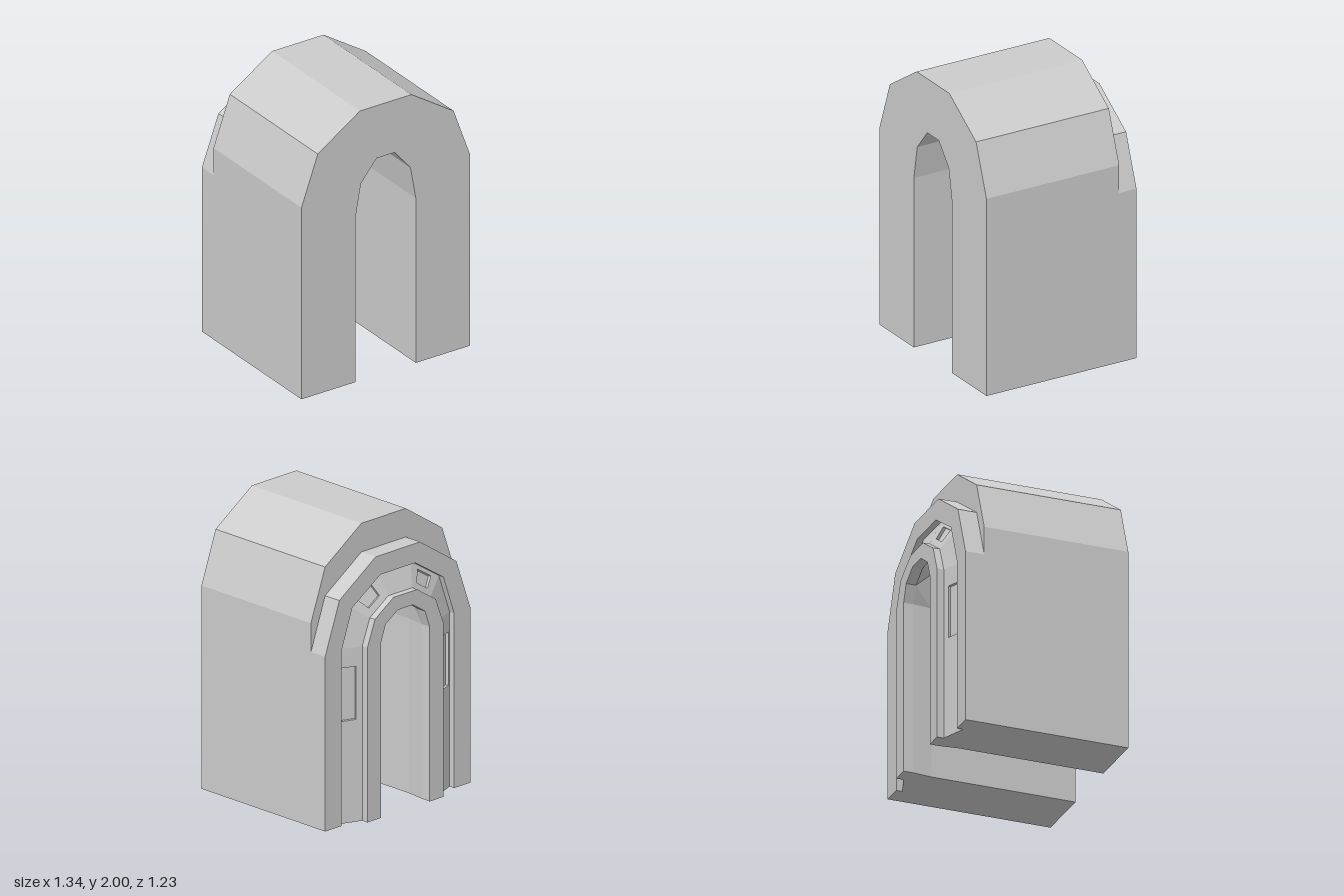
import * as THREE from 'three';

// Arch profile from the -x foot over the crown to the +x foot, placed at depth z
function arch(half, z) {
  const right = [...half].reverse();
  return [...half.map(([x, y]) => [-x, y]), ...right].map(([x, y]) => new THREE.Vector3(x, y, z));
}

const OUTER = [[0.67, 0], [0.67, 1.42], [0.54, 1.78], [0.205, 2]];
const BACK = [[0.67, 0], [0.67, 1.22], [0.54, 1.58], [0.205, 1.8]];
const FRAME = [[0.52, 0], [0.52, 1.22], [0.42, 1.5], [0.16, 1.665]];
const RING = [[0.35, 0], [0.35, 1.22], [0.28, 1.4], [0.11, 1.51]];
const MOUTH = [[0.225, 0], [0.225, 1.22], [0.182, 1.34], [0.07, 1.413]];
const TUNNEL = [[0.24, 0], [0.24, 1.22], [0.197, 1.46], [0.072, 1.61]];

function quad(out, a, b, c, d) {
  for (const p of [a, b, c, a, c, d]) out.push(p.x, p.y, p.z);
}

// Strip of quads between two arch profiles, optionally leaving out segments
function strip(out, A, B, skip = []) {
  for (let i = 0; i < A.length - 1; i++) {
    if (!skip.includes(i)) quad(out, A[i], A[i + 1], B[i + 1], B[i]);
  }
}

// Quad with a sunken panel: the rim goes to `out`, walls and floor go to `sunk`
function panelQuad(out, sunk, [a, b, c, d], [u0, u1, v0, v1], depth) {
  const at = (u, v) => a.clone().lerp(b, u).lerp(d.clone().lerp(c, u), v);
  const outer = [a, b, c, d];
  const rim = [at(u0, v0), at(u1, v0), at(u1, v1), at(u0, v1)];
  const inward = b.clone().sub(a).cross(d.clone().sub(a)).normalize().multiplyScalar(-depth);
  const floor = rim.map((p) => p.clone().add(inward));
  for (let i = 0; i < 4; i++) {
    const j = (i + 1) % 4;
    quad(out, outer[i], outer[j], rim[j], rim[i]);
    quad(sunk, rim[i], rim[j], floor[j], floor[i]);
  }
  quad(sunk, ...floor);
}

export function createModel() {
  const group = new THREE.Group();
  const material = new THREE.MeshStandardMaterial({ color: 0xcccccc, flatShading: true });

  function addMesh(name, positions) {
    const geometry = new THREE.BufferGeometry();
    geometry.setAttribute('position', new THREE.Float32BufferAttribute(positions, 3));
    geometry.computeVertexNormals();
    const mesh = new THREE.Mesh(geometry, material);
    mesh.name = name;
    group.add(mesh);
  }

  // Cross-section of the wall, running round from the front face to the tunnel
  const sections = [
    arch(TUNNEL, 0.613), arch(OUTER, 0.613), arch(OUTER, -0.41),
    arch(BACK, -0.41), arch(BACK, -0.543), arch(FRAME, -0.543),
    arch(FRAME, -0.5), arch(RING, -0.565), arch(RING, -0.613),
    arch(MOUTH, -0.613), arch(MOUTH, -0.543), arch(TUNNEL, -0.41),
  ];
  const parts = [
    ['outerVault', 0, 2], ['backFrame', 2, 6], ['doorRing', 7, 9], ['tunnelLining', 9, 12],
  ];
  for (const [name, from, to] of parts) {
    const out = [];
    for (let s = from; s < to; s++) {
      // the step at the back has no height on the legs
      strip(out, sections[s], sections[(s + 1) % 12], s === 2 ? [0, 6] : []);
    }
    addMesh(name, out);
  }

  // Sloping channel between frame and ring, with four sunken panels
  const channel = [], panels = [];
  const [A, B] = [sections[6], sections[7]];
  const spots = {
    0: [0.585, 0.89, 0.1, 0.76], 6: [0.11, 0.415, 0.1, 0.76],
    2: [0.25, 0.75, 0.17, 0.72], 4: [0.25, 0.75, 0.17, 0.72],
  };
  strip(channel, A, B, Object.keys(spots).map(Number));
  for (const key of Object.keys(spots)) {
    const i = Number(key);
    panelQuad(channel, panels, [A[i], A[i + 1], B[i + 1], B[i]], spots[key], 0.02);
  }
  addMesh('channel', channel);
  addMesh('sunkenPanels', panels);

  // Undersides of the two legs
  for (const side of [-1, 1]) {
    const outline = sections.filter((_, s) => s !== 3)
      .map((p) => new THREE.Vector2(side * Math.abs(p[0].x), p[0].z));
    const foot = new THREE.Mesh(new THREE.ShapeGeometry(new THREE.Shape(outline)), material);
    foot.geometry.rotateX(Math.PI / 2);
    foot.name = side > 0 ? 'leftFoot' : 'rightFoot';
    group.add(foot);
  }
  return group;
}
